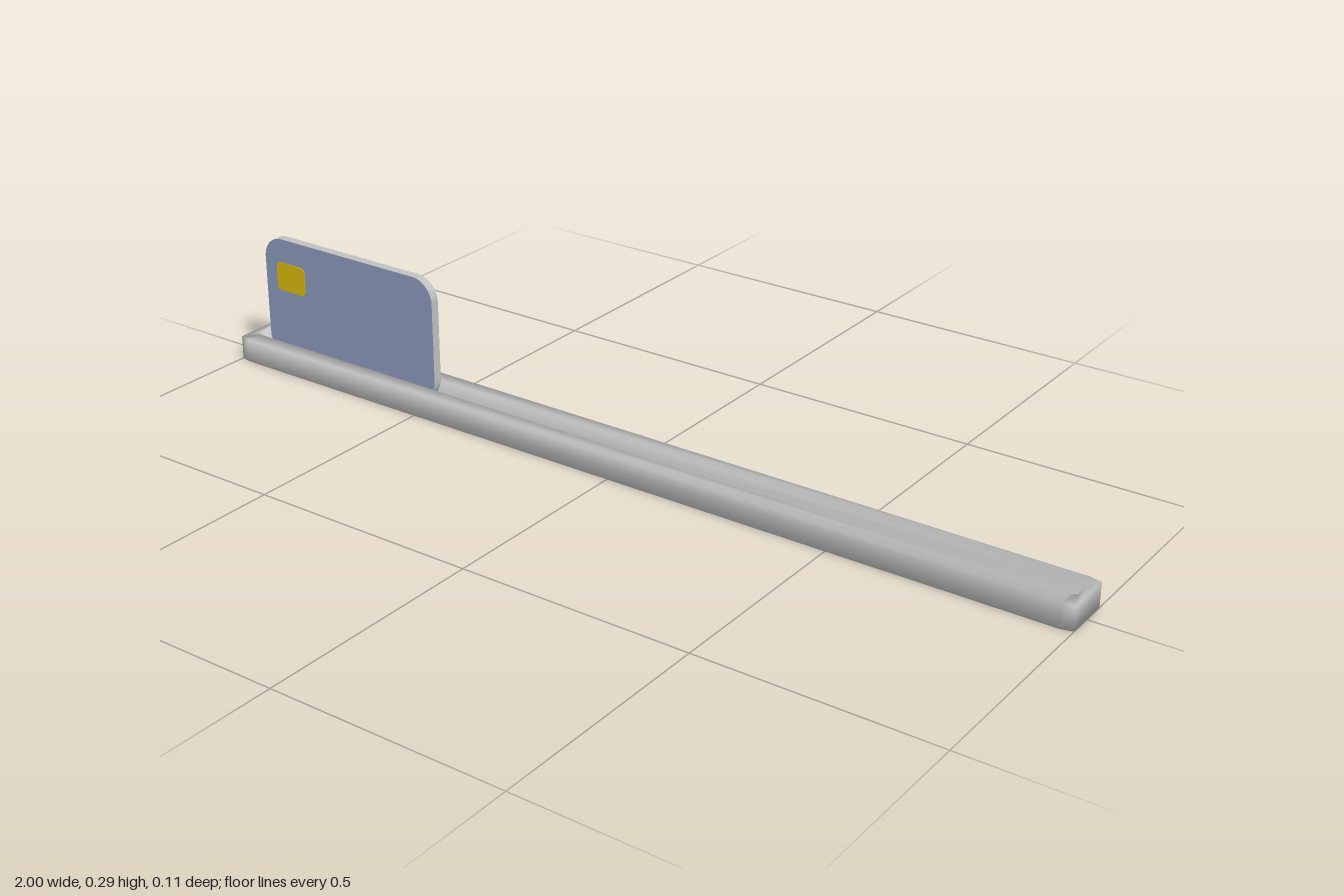
import * as THREE from 'three';

const material = (name, color, side = THREE.FrontSide) => {
  const m = new THREE.MeshStandardMaterial({ color, side });
  m.name = name;
  return m;
};

const add = (group, name, geometry, mat) => {
  const mesh = new THREE.Mesh(geometry, mat);
  mesh.name = name;
  group.add(mesh);
  return mesh;
};

// Rectangle with chamfered corners, lying flat at height y
function ring(hx, hz, cx, cz, y) {
  return [
    [hx, -hz + cz], [hx, hz - cz], [hx - cx, hz], [-hx + cx, hz],
    [-hx, hz - cz], [-hx, -hz + cz], [-hx + cx, -hz], [hx - cx, -hz],
  ].map(([x, z]) => [x, y, z]);
}

// Long block with a blind slot along the top; shared vertices give soft shading
function railGeometry() {
  const rings = [
    ring(1, 0.057, 0.025, 0.006, 0),
    ring(1, 0.057, 0.025, 0.006, 0.052),
    ring(0.985, 0.02, 0.015, 0.006, 0.052),
    ring(0.985, 0.02, 0.015, 0.006, 0.012),
  ];
  const n = 8;
  const points = rings.flat();
  const bottom = points.push([0, 0, 0]) - 1;
  const floor = points.push([0, 0.012, 0]) - 1;
  const index = [];
  for (let i = 0; i < n; i++) {
    const j = (i + 1) % n;
    for (let r = 0; r < rings.length - 1; r++) {
      const a = r * n, b = a + n;
      index.push(a + j, a + i, b + i, a + j, b + i, b + j);
    }
    index.push(bottom, i, j, floor, 3 * n + j, 3 * n + i);
  }
  const g = new THREE.BufferGeometry();
  g.setAttribute('position', new THREE.Float32BufferAttribute(points.flat(), 3));
  g.setIndex(index);
  g.computeVertexNormals();
  return g;
}

// Rounded rectangle extruded to a thickness and centred on z
function roundedPlate(w, h, r, depth) {
  const x = w / 2, y = h / 2;
  const s = new THREE.Shape();
  s.absarc(x - r, y - r, r, 0, Math.PI / 2);
  s.absarc(-x + r, y - r, r, Math.PI / 2, Math.PI);
  s.absarc(-x + r, -y + r, r, Math.PI, Math.PI * 1.5);
  s.absarc(x - r, -y + r, r, Math.PI * 1.5, Math.PI * 2);
  s.closePath();
  return new THREE.ExtrudeGeometry(s, { depth, bevelEnabled: false, curveSegments: 8 })
    .translate(0, 0, -depth / 2);
}

export function createModel() {
  const grey = material('grey', 0xc0c0c0);
  const blue = material('slateBlue', 0x8c98ba);
  const gold = material('gold', 0xd6b808);
  const model = new THREE.Group();
  model.name = 'cardInRail';

  // Slotted rail with a low contact strip on the slot floor
  add(model, 'rail', railGeometry(), grey);
  add(model, 'contactStrip', new THREE.BoxGeometry(0.38, 0.012, 0.024), grey)
    .position.set(0, 0.018, 0);

  // Card standing in the slot: blue faces, grey edge
  const card = new THREE.Group();
  card.name = 'card';
  card.position.set(-0.715, 0.152, 0);
  model.add(card);
  add(card, 'cardBody', roundedPlate(0.47, 0.274, 0.05, 0.02), [blue, grey]);

  // Gold chip on both faces
  for (const side of [1, -1]) {
    add(card, side > 0 ? 'frontChip' : 'backChip', roundedPlate(0.08, 0.064, 0.01, 0.002), gold)
      .position.set(-0.162, 0.051, side * 0.0105);
  }
  return model;
}
